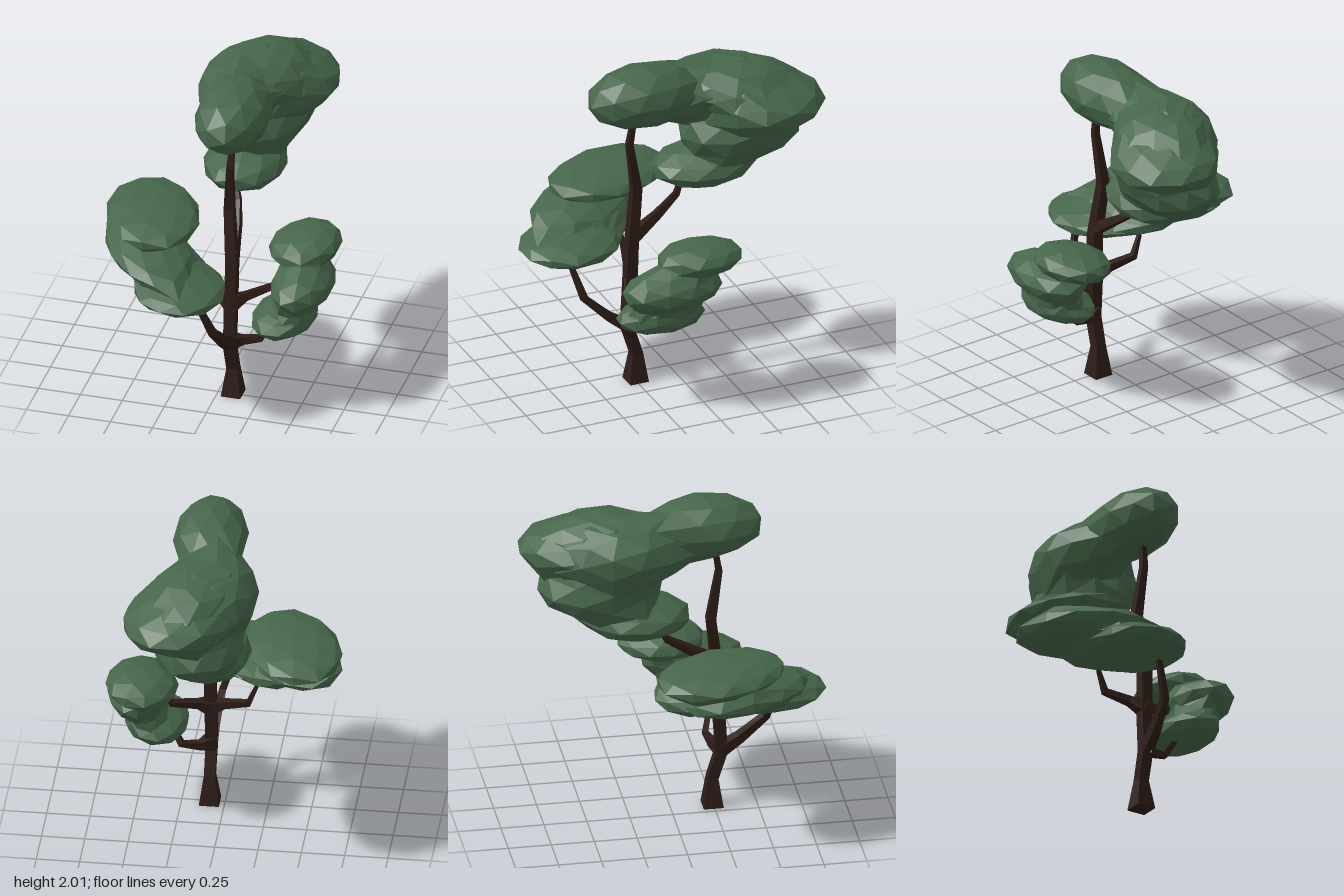
import * as THREE from 'three';

const bark = new THREE.MeshStandardMaterial({ color: 0x2f1d17, flatShading: true });
const leaf = new THREE.MeshStandardMaterial({ color: 0x46664a, flatShading: true });

// Square-section limb through points [x, y, z, halfWidth]
function limb(name, points) {
  const centres = points.map(([x, y, z]) => new THREE.Vector3(x, y, z));
  const positions = [];
  const index = [];
  const last = points.length - 1;
  points.forEach((p, i) => {
    const t = centres[Math.min(i + 1, last)].clone().sub(centres[Math.max(i - 1, 0)]).normalize();
    if (p[1] === 0) t.set(0, 1, 0); // level cut at the ground
    const u = t.clone().cross(new THREE.Vector3(0, 0, 1)).normalize();
    const v = t.clone().cross(u);
    for (const [a, b] of [[1, 1], [-1, 1], [-1, -1], [1, -1]]) {
      const c = centres[i].clone().addScaledVector(u, a * p[3]).addScaledVector(v, b * p[3]);
      positions.push(c.x, c.y, c.z);
    }
    if (i === last) return;
    for (let k = 0; k < 4; k++) {
      const a = i * 4 + k, b = i * 4 + (k + 1) % 4;
      index.push(a, b, b + 4, a, b + 4, a + 4);
    }
  });
  const e = last * 4;
  index.push(0, 2, 1, 0, 3, 2, e, e + 1, e + 2, e, e + 2, e + 3);
  const indexed = new THREE.BufferGeometry();
  indexed.setAttribute('position', new THREE.Float32BufferAttribute(positions, 3));
  indexed.setIndex(index);
  const geometry = indexed.toNonIndexed();
  geometry.computeVertexNormals();
  const mesh = new THREE.Mesh(geometry, bark);
  mesh.name = name;
  return mesh;
}

// Cluster of faceted leaf masses [centre, radii, yaw, tilt] that swell into one another where they meet
function foliage(name, masses) {
  const group = new THREE.Group();
  group.name = name;
  const frames = masses.map(([centre, radii, yaw = 0, tilt = 0]) => new THREE.Matrix4().compose(
    new THREE.Vector3(...centre),
    new THREE.Quaternion().setFromEuler(new THREE.Euler(0, yaw, tilt, 'ZYX')),
    new THREE.Vector3(...radii),
  ));
  const inverses = frames.map((m) => m.clone().invert());
  const q = new THREE.Vector3();
  const field = (p) => inverses.reduce(
    (sum, inv) => sum + Math.exp(-8 * (q.copy(p).applyMatrix4(inv).lengthSq() - 1)), 0);

  frames.forEach((frame, i) => {
    const geometry = new THREE.IcosahedronGeometry(1, 1);
    geometry.rotateY(i * 0.5 + 0.2);
    const position = geometry.attributes.position;
    const dir = new THREE.Vector3();
    const p = new THREE.Vector3();
    for (let k = 0; k < position.count; k++) {
      dir.fromBufferAttribute(position, k);
      // Move outward to the blended surface
      let s = 1;
      while (s < 1.3 && field(p.copy(dir).multiplyScalar(s).applyMatrix4(frame)) > 1.02) s += 0.01;
      p.copy(dir).multiplyScalar(s * 1.03).applyMatrix4(frame);
      position.setXYZ(k, p.x, p.y, p.z);
    }
    geometry.computeVertexNormals();
    const mesh = new THREE.Mesh(geometry, leaf);
    mesh.name = 'leafMass' + (i + 1);
    group.add(mesh);
  });
  return group;
}

export function createModel() {
  const tree = new THREE.Group();
  tree.name = 'tree';

  // Trunk and branches
  tree.add(
    limb('trunk', [
      [0.087, 0, 0.243, 0.058], [0.087, 0.18, 0.243, 0.032], [0.083, 0.35, 0.295, 0.033],
      [0.085, 0.6, 0.28, 0.034], [0.09, 0.88, 0.272, 0.033], [0.062, 1.22, 0.23, 0.028],
      [0.08, 1.52, 0.28, 0.019], [0.09, 1.72, 0.25, 0.013],
    ]),
    limb('lowerLeftBranch', [
      [0.08, 0.375, 0.295, 0.045], [0.15, 0.37, 0.25, 0.023], [0.25, 0.385, 0.23, 0.018], [0.33, 0.52, 0.27, 0.012],
    ]),
    limb('upperLeftBranch', [
      [0.085, 0.62, 0.28, 0.045], [0.16, 0.655, 0.24, 0.023], [0.3, 0.7, 0.16, 0.018], [0.35, 0.82, 0.14, 0.01],
    ]),
    limb('rightBranch', [
      [0.085, 0.62, 0.28, 0.04], [0.0, 0.66, 0.25, 0.023], [-0.14, 0.7, 0.21, 0.018], [-0.19, 0.82, 0.22, 0.01],
    ]),
    limb('frontBranch', [
      [0.083, 0.36, 0.3, 0.035], [0.075, 0.43, 0.4, 0.028], [0.05, 0.57, 0.55, 0.02], [-0.04, 0.82, 0.62, 0.012],
    ]),
    limb('backBranch', [
      [0.088, 0.92, 0.27, 0.035], [0.07, 1.03, 0.1, 0.023], [0.04, 1.12, -0.03, 0.017], [0.0, 1.25, -0.1, 0.01],
    ]),
  );

  // Leaf clusters
  tree.add(
    foliage('crown', [
      [[0.075, 1.82, 0.19], [0.21, 0.18, 0.34]],
      [[-0.015, 1.73, -0.28], [0.235, 0.205, 0.35]],
      [[0.19, 1.7, -0.53], [0.305, 0.14, 0.335], 0, -0.06],
      [[0.13, 1.8, -0.4], [0.22, 0.135, 0.3], 0, -0.1],
      [[0.08, 1.5, -0.41], [0.265, 0.19, 0.36], 0, 0.1],
      [[0.035, 1.29, -0.2], [0.235, 0.115, 0.305]],
    ]),
    foliage('rightFoliage', [
      [[-0.4, 1.095, 0.21], [0.265, 0.08, 0.395], 0.35],
      [[-0.385, 0.955, 0.36], [0.235, 0.09, 0.42], 0.55, -0.12],
      [[-0.14, 0.84, 0.56], [0.265, 0.075, 0.3], 0.2, -0.04],
      [[-0.25, 0.87, 0.4], [0.2, 0.08, 0.28], 0.4, -0.1],
    ]),
    foliage('leftFoliage', [
      [[0.45, 0.915, 0.0], [0.205, 0.095, 0.25], 0, 0.1],
      [[0.49, 0.77, 0.19], [0.175, 0.12, 0.295]],
      [[0.39, 0.56, 0.22], [0.185, 0.095, 0.26], 0, 0.12],
      [[0.45, 0.66, 0.2], [0.12, 0.1, 0.215]],
    ]),
  );
  return tree;
}
